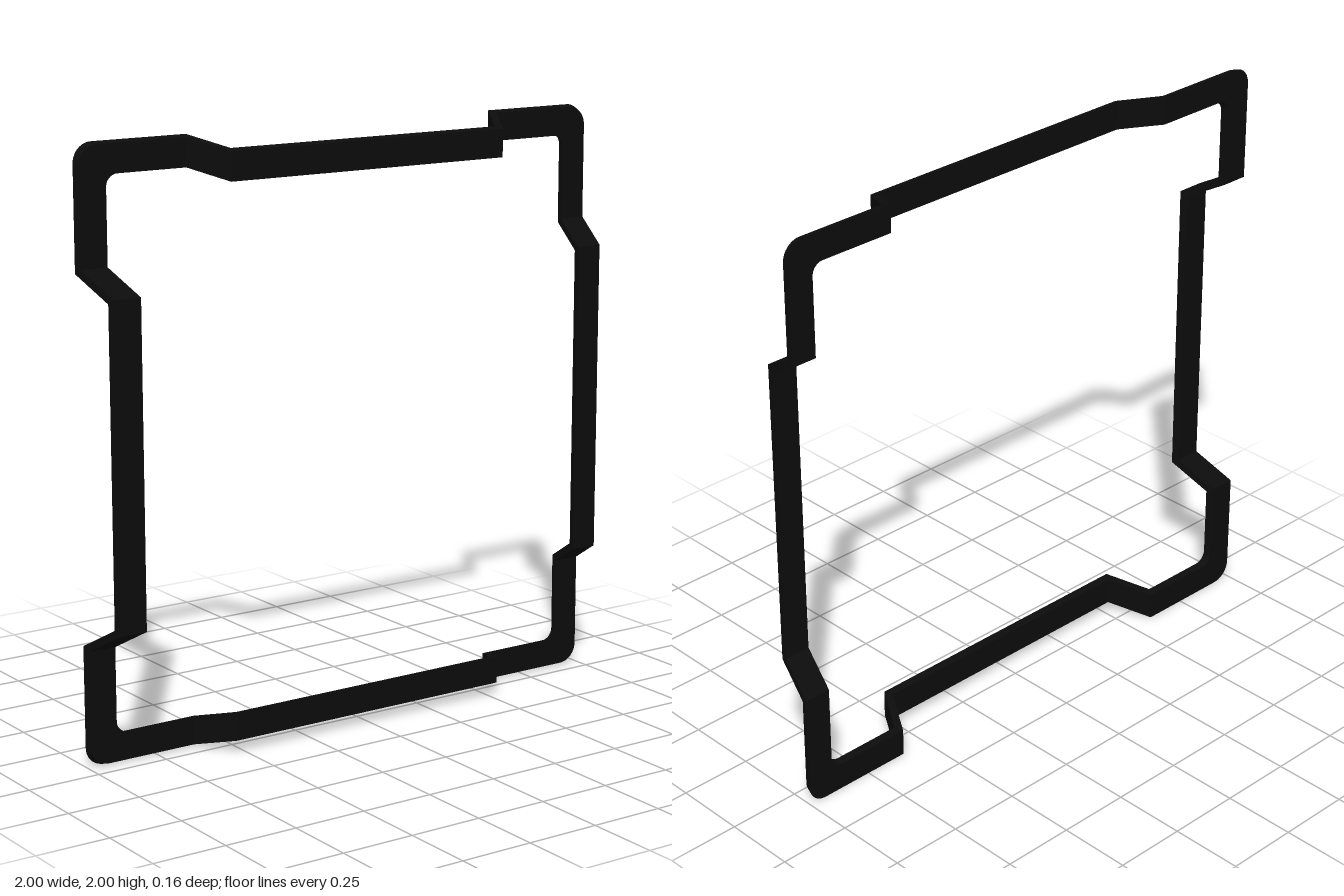
import * as THREE from 'three';
import { toCreasedNormals } from 'three/addons/utils/BufferGeometryUtils.js';

const BACK = -0.0815, HALF = 0.0125; // rear plane and half thickness of the strip
const WIDTH = 0.095, TAPER = 0.26;   // strip width; inward lean toward the front
const R_OUT = 0.065, R_IN = 0.04;    // corner radii
const MITER = 0.0075;                // shift of the bend lines through the thickness

// distance from the centre to the outer edge at depth z
const edge = (z) => 1 - TAPER * (z - BACK);

// cross-section on the straight top run: outer back, outer front, inner front, inner back
function runSection(u, zc) {
  const s = Math.sign(u);
  const zb = zc - HALF, zf = zc + HALF;
  const ub = u - s * MITER, uf = u + s * MITER;
  return [
    [ub, edge(zb), zb], [uf, edge(zf), zf],
    [uf, edge(zf) - WIDTH, zf], [ub, edge(zb) - WIDTH, zb],
  ];
}

// cross-section in the rounded corner at angle a
function cornerSection(a, zc) {
  const at = (d, r, z) => [d - r + r * Math.sin(a), d - r + r * Math.cos(a), z];
  const zb = zc - HALF, zf = zc + HALF;
  return [
    at(edge(zb), R_OUT, zb), at(edge(zf), R_OUT, zf),
    at(edge(zf) - WIDTH, R_IN, zf), at(edge(zb) - WIDTH, R_IN, zb),
  ];
}

function frameGeometry() {
  const zRear = BACK + HALF, zFront = -zRear;
  // one side and its corner: rear tab, step forward, long front run, step back, corner
  const side = [
    runSection(-0.603, zRear), runSection(-0.525, zFront),
    runSection(0.525, zFront), runSection(0.603, zRear),
  ];
  const steps = 10;
  for (let i = 0; i <= steps; i++) side.push(cornerSection((i / steps) * Math.PI / 2, zRear));

  // repeat the side four times, a quarter turn each
  const rings = [];
  const turn = ([x, y, z]) => [y, -x, z];
  let current = side;
  for (let k = 0; k < 4; k++) {
    rings.push(...current);
    current = current.map((ring) => ring.map(turn));
  }

  // skin the closed loop
  const positions = [];
  rings.forEach((ring, i) => {
    const next = rings[(i + 1) % rings.length];
    for (let j = 0; j < 4; j++) {
      const k = (j + 1) % 4;
      positions.push(...ring[j], ...ring[k], ...next[k], ...ring[j], ...next[k], ...next[j]);
    }
  });
  const geometry = new THREE.BufferGeometry();
  geometry.setAttribute('position', new THREE.Float32BufferAttribute(positions, 3));
  geometry.computeVertexNormals();
  return toCreasedNormals(geometry, 0.5);
}

export function createModel() {
  const black = new THREE.MeshStandardMaterial({ color: 0x0c0c0c });
  black.name = 'black';

  const frame = new THREE.Mesh(frameGeometry(), black);
  frame.name = 'steppedFrame';
  frame.position.y = 1;

  const model = new THREE.Group();
  model.name = 'squareFrame';
  model.add(frame);
  return model;
}
